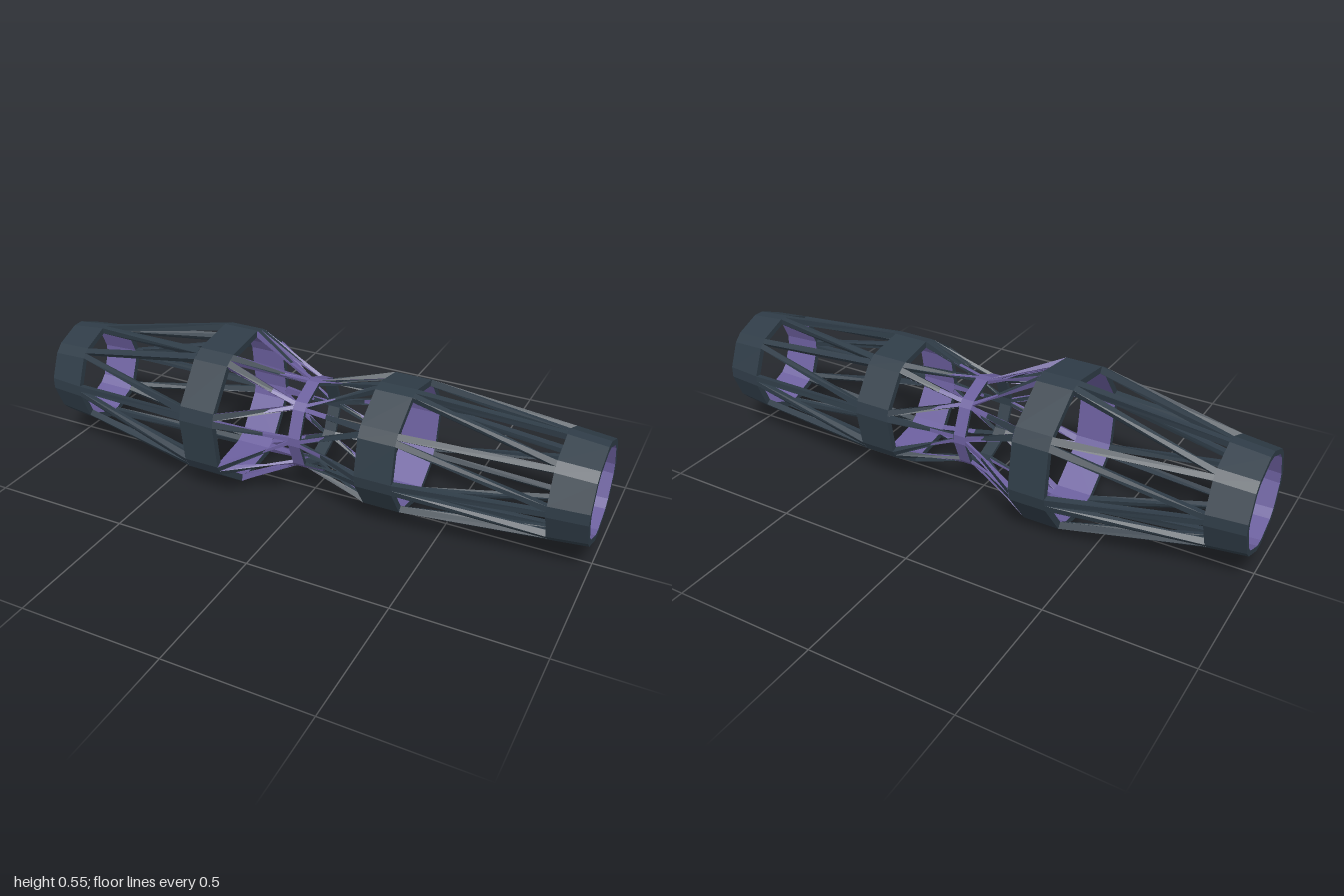
import * as THREE from 'three';

const AXIS_Y = 0.275, SIDES = 8, STEP = (Math.PI * 2) / SIDES;
const rad = THREE.MathUtils.degToRad;
const paint = (color) => new THREE.MeshStandardMaterial({ color, flatShading: true, side: THREE.DoubleSide });
const dark = paint(0x2f3c47);
const purple = paint(0x6a5e9c);

// Point on the tube: x along the axis, radius, angle from the top towards -z
const polar = (x, r, a) => new THREE.Vector3(x, AXIS_Y + r * Math.cos(a), -r * Math.sin(a));

// One ring edge: position, outer and inner radius, corner angle, half width of a corner block
const edge = (x, r, ri, twist, half) => ({ x, r, ri, twist: rad(twist), h: Math.asin(half / r) });

function addQuad(out, corners, centre) {
  let [a, b, c, d] = corners;
  const n = c.clone().sub(a).cross(d.clone().sub(b));
  const mid = a.clone().add(b).add(c).add(d).multiplyScalar(0.25);
  if (n.dot(mid.sub(centre)) < 0) [b, d] = [d, b];
  for (const p of [a, b, c, a, c, d]) out.push(p.x, p.y, p.z);
}

// Six-sided block between edge e0 (angles a0..a1) and edge e1 (angles b0..b1)
function addBlock(faces, e0, a0, a1, e1, b0, b1, rims) {
  const o = [polar(e0.x, e0.r, a0), polar(e0.x, e0.r, a1), polar(e1.x, e1.r, b1), polar(e1.x, e1.r, b0)];
  const i = [polar(e0.x, e0.ri, a0), polar(e0.x, e0.ri, a1), polar(e1.x, e1.ri, b1), polar(e1.x, e1.ri, b0)];
  const centre = new THREE.Vector3();
  [...o, ...i].forEach((p) => centre.addScaledVector(p, 1 / 8));
  addQuad(faces.outside, o, centre);
  addQuad(faces.lining, i, centre);
  // rings close the two end rims, struts close the two long flanks
  for (const k of rims) {
    const m = (k + 1) % 4;
    addQuad(faces.rim, [o[k], o[m], i[m], i[k]], centre);
  }
}

function makePart(name, materials, build) {
  const faces = { outside: [], lining: [], rim: [] };
  build(faces);
  const part = new THREE.Group();
  part.name = name;
  for (const [kind, data] of Object.entries(faces)) {
    const g = new THREE.BufferGeometry();
    g.setAttribute('position', new THREE.Float32BufferAttribute(data, 3));
    g.computeVertexNormals();
    const mesh = new THREE.Mesh(g, materials[kind]);
    mesh.name = `${name} ${kind}`;
    part.add(mesh);
  }
  return part;
}

// Octagonal band with blunted corners
const makeRing = (name, [e0, e1]) =>
  makePart(name, { outside: dark, lining: purple, rim: dark }, (faces) => {
    for (let k = 0; k < SIDES; k++) {
      const a = e0.twist + k * STEP, b = e1.twist + k * STEP;
      addBlock(faces, e0, a - e0.h, a + e0.h, e1, b - e1.h, b + e1.h, [0, 2]);
      addBlock(faces, e0, a + e0.h, a + STEP - e0.h, e1, b + e1.h, b + STEP - e1.h, [0, 2]);
    }
  });

// Zigzag of struts: each corner of e0 reaches the two nearest corners of e1
const makeStruts = (name, e0, e1, lining, rim) =>
  makePart(name, { outside: dark, lining, rim }, (faces) => {
    const ahead = ((e1.twist - e0.twist) % STEP + STEP) % STEP;
    for (let k = 0; k < SIDES; k++) {
      const a = e0.twist + k * STEP, next = a + ahead, prev = next - STEP;
      addBlock(faces, e0, a, a + e0.h, e1, next - e1.h, next, [1, 3]);
      addBlock(faces, e0, a - e0.h, a, e1, prev, prev + e1.h, [1, 3]);
    }
  });

export function createModel() {
  const group = new THREE.Group();
  group.name = 'latticeTube';

  // Ring edges along the axis; the waist is turned inside out, its lining lying outermost
  const endA = [edge(-1, 0.174, 0.155, 0, 0.02), edge(-0.87, 0.187, 0.165, 0, 0.02)];
  const big = [edge(-0.38, 0.279, 0.255, 15, 0.025), edge(-0.25, 0.279, 0.255, 15, 0.025)];
  const waist = [edge(-0.022, 0.151, 0.164, 0, 0.014), edge(0.022, 0.151, 0.164, 0, 0.014)];
  const small = [edge(0.25, 0.228, 0.206, -12, 0.022), edge(0.38, 0.228, 0.206, -12, 0.022)];
  const endB = [edge(0.87, 0.187, 0.165, 0, 0.02), edge(1, 0.175, 0.153, 0, 0.02)];

  group.add(
    makeRing('rightEndRing', endA),
    makeRing('largeRing', big),
    makeRing('waistRing', waist),
    makeRing('smallRing', small),
    makeRing('leftEndRing', endB),
    makeStruts('rightLongStruts', endA[1], big[0], dark, dark),
    makeStruts('rightWaistStruts', big[1], waist[0], purple, purple),
    makeStruts('leftWaistStruts', waist[1], small[0], purple, dark),
    makeStruts('leftLongStruts', small[1], endB[0], dark, dark),
  );
  return group;
}
